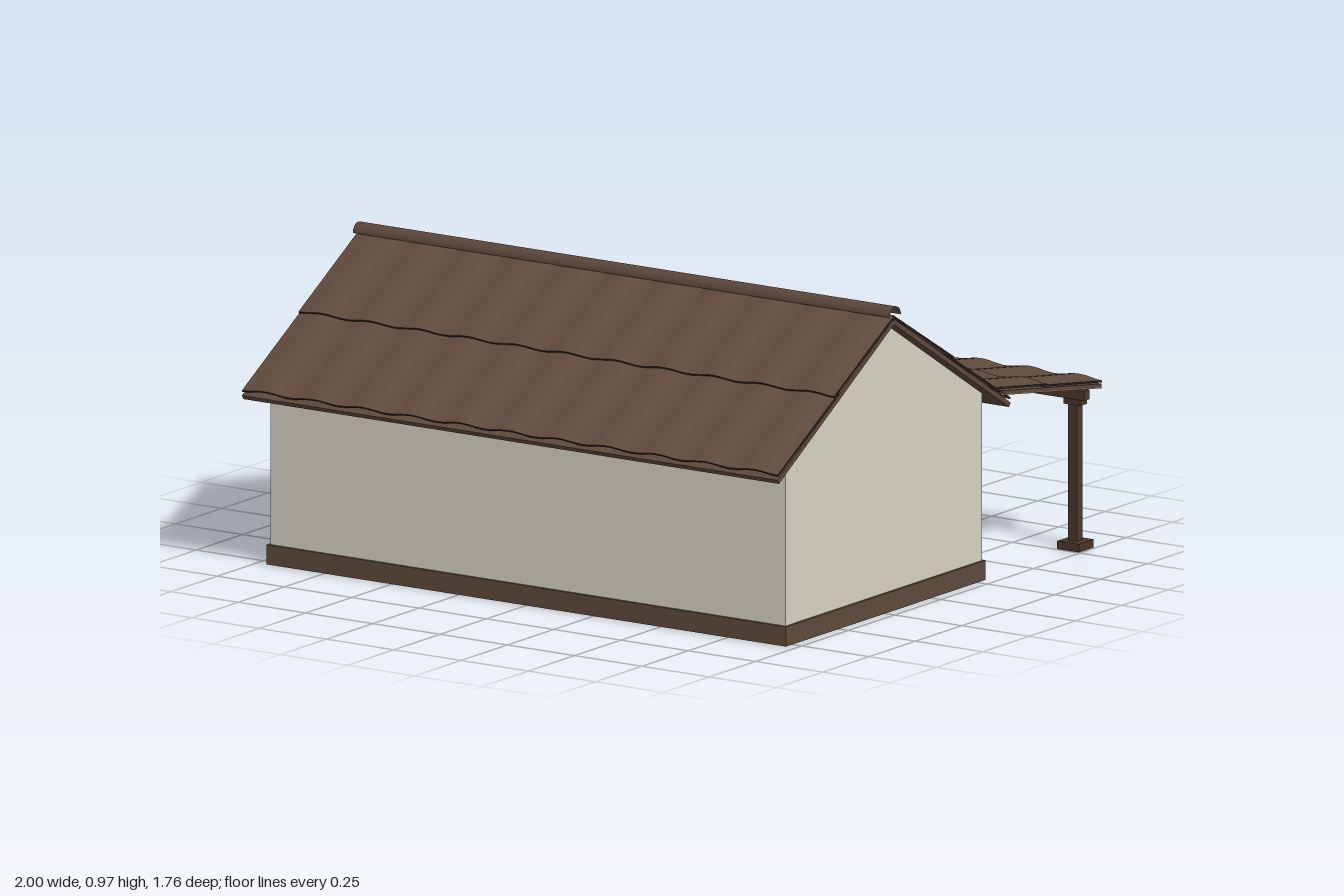
import * as THREE from 'three';

const mat = (name, color) => Object.assign(new THREE.MeshStandardMaterial({ color }), { name });

export function createModel() {
  const model = new THREE.Group();
  model.name = 'house';
  const tile = mat('roof tile brown', 0x604a3d);
  const tileEdge = mat('tile edge dark', 0x2c211c);
  const wood = mat('dark wood', 0x4b372d);
  const board = mat('roof board brown', 0x5e483c);
  const ceiling = mat('porch ceiling tan', 0x947a58);
  const plinthMat = mat('plinth brown', 0x5f4a3b);
  const plaster = mat('wall plaster', 0xd7d2c4);
  const iron = mat('window iron', 0x3a3632);
  const ochre = mat('threshold ochre', 0x8f7248);
  const capMat = mat('ridge cap brown', 0x5b463a);
  capMat.side = THREE.DoubleSide;

  const add = (name, geo, material, parent = model) => {
    const m = new THREE.Mesh(geo, material);
    m.name = name;
    parent.add(m);
    return m;
  };
  // Box given by its limits on each axis
  const box = (name, material, x0, x1, y0, y1, z0, z1, parent) => {
    const m = add(name, new THREE.BoxGeometry(x1 - x0, y1 - y0, z1 - z0), material, parent);
    m.position.set((x0 + x1) / 2, (y0 + y1) / 2, (z0 + z1) / 2);
    return m;
  };

  // Sloping slab whose mid-plane runs from (z0,y0) to (z1,y1), z0 < z1; wavy for tiles
  const slab = (name, material, z0, y0, z1, y1, thick, wave = 0) => {
    const len = Math.hypot(z1 - z0, y1 - y0);
    const geo = new THREE.BoxGeometry(1.99, thick, len, wave ? 132 : 1, 1, 1);
    if (wave) {
      const p = geo.attributes.position;
      for (let i = 0; i < p.count; i++) {
        p.setY(i, p.getY(i) + wave * Math.cos(p.getX(i) * Math.PI * 11));
      }
      geo.computeVertexNormals();
    }
    const m = add(name, geo, material);
    m.position.set(0, (y0 + y1) / 2, (z0 + z1) / 2);
    m.rotation.x = -Math.atan2(y1 - y0, z1 - z0);
    return m;
  };
  // Tile sheets have dark cut edges
  const tiles = [tileEdge, tileEdge, tile, tile, tileEdge, tileEdge];

  // Plinth: thin ring, open below
  box('plinthFront', plinthMat, -0.965, 0.965, 0, 0.062, 0.776, 0.785);
  box('plinthBack', plinthMat, -0.965, 0.965, 0, 0.062, -0.293, -0.286);
  for (const s of [-1, 1]) {
    const side = box('plinthSide', plinthMat, -0.004, 0.004, 0, 0.062, -0.286, 0.776);
    side.position.x = s * 0.961;
  }

  // Gable walls
  const gable = new THREE.Shape();
  [[-0.285, 0.06], [0.775, 0.06], [0.775, 0.59], [0.245, 0.912], [-0.285, 0.59]]
    .forEach(([z, y], i) => (i ? gable.lineTo(-z, y) : gable.moveTo(-z, y)));
  for (const x of [-0.957, 0.942]) {
    const g = add('gableWall', new THREE.ExtrudeGeometry(gable, { depth: 0.015, bevelEnabled: false }), plaster);
    g.rotation.y = Math.PI / 2;
    g.position.x = x;
  }
  box('frontWall', plaster, -0.942, 0.942, 0.06, 0.59, 0.76, 0.775);

  // Back wall with openings for two doors and two windows
  const doors = [0.38, -0.53];
  const windows = [0.74, -0.09];
  const rectPath = (x0, x1, y0, y1, P) => {
    const s = new P();
    s.moveTo(x0, y0);
    s.lineTo(x1, y0);
    s.lineTo(x1, y1);
    s.lineTo(x0, y1);
    s.closePath();
    return s;
  };
  const back = rectPath(-0.942, 0.942, 0.06, 0.59, THREE.Shape);
  doors.forEach(x => back.holes.push(rectPath(x - 0.1, x + 0.1, 0.065, 0.485, THREE.Path)));
  windows.forEach(x => back.holes.push(rectPath(x - 0.075, x + 0.075, 0.28, 0.43, THREE.Path)));
  add('backWall', new THREE.ExtrudeGeometry(back, { depth: 0.06, bevelEnabled: false }), plaster)
    .position.z = -0.285;

  // Recessed doors with lintel, threshold and step
  doors.forEach(x => {
    const g = new THREE.Group();
    g.name = 'door';
    g.position.x = x;
    model.add(g);
    box('doorLeaf', wood, -0.1, 0.1, 0.065, 0.485, -0.236, -0.226, g);
    for (const s of [-1, 1]) {
      box('doorPanel', tile, s * 0.049 - 0.046, s * 0.049 + 0.046, 0.07, 0.48, -0.24, -0.236, g);
    }
    box('doorLintel', wood, -0.15, 0.15, 0.49, 0.52, -0.294, -0.28, g);
    box('threshold', ochre, -0.1, 0.1, 0.062, 0.07, -0.285, -0.24, g);
    box('doorStep', wood, -0.12, 0.12, 0.035, 0.055, -0.295, -0.293, g);
  });

  // Windows with bars, sill, lintel and two shutters, one folded into the reveal
  windows.forEach(x => {
    const g = new THREE.Group();
    g.name = 'window';
    g.position.x = x;
    model.add(g);
    for (let i = -1; i <= 1; i++) {
      const bar = add('windowBar', new THREE.CylinderGeometry(0.005, 0.005, 0.15, 6), iron, g);
      bar.position.set(i * 0.038, 0.355, -0.268);
    }
    box('windowRail', iron, -0.075, 0.075, 0.351, 0.359, -0.272, -0.264, g);
    box('windowSill', wood, -0.085, 0.085, 0.268, 0.28, -0.294, -0.26, g);
    box('windowLintel', wood, -0.085, 0.085, 0.43, 0.442, -0.294, -0.26, g);
    box('openShutter', tile, 0.078, 0.155, 0.275, 0.44, -0.294, -0.286, g);
    box('foldedShutter', tile, -0.075, -0.067, 0.28, 0.43, -0.287, -0.215, g);
  });

  // Main roof: boards below and two overlapping tile rows on each slope
  const rz = 0.245;
  const slope = (name, material, d0, y0, d1, y1, thick, wave) => {
    slab(name + 'Front', material, rz + d0, y0, rz + d1, y1, thick, wave);
    slab(name + 'Back', material, rz - d1, y1, rz - d0, y0, thick, wave);
  };
  slope('roofBoard', board, 0, 0.921, 0.625, 0.538, 0.015);
  slope('upperTiles', tiles, 0, 0.942, 0.325, 0.75, 0.006, 0.005);
  slope('lowerTiles', tiles, 0.3, 0.757, 0.63, 0.562, 0.006, 0.005);

  // Ridge cap
  const cap = add('ridgeCap',
    new THREE.CylinderGeometry(0.03, 0.03, 1.995, 16, 1, true, 0, Math.PI), capMat);
  cap.rotation.z = Math.PI / 2;
  cap.position.set(0, 0.938, rz - 0.003);

  // Porch roof: brown boards lined below, under two tile rows
  slab('porchBoard', board, -0.875, 0.502, -0.33, 0.586, 0.011);
  slab('porchCeiling', ceiling, -0.874, 0.495, -0.33, 0.579, 0.003);
  slab('porchUpperTiles', tiles, -0.58, 0.567, -0.29, 0.611, 0.006, 0.005);
  slab('porchLowerTiles', tiles, -0.878, 0.519, -0.56, 0.567, 0.006, 0.005);

  // Porch beam and posts
  box('porchBeam', wood, -0.995, 0.995, 0.472, 0.502, -0.811, -0.779);
  for (let i = 0; i < 4; i++) {
    const g = new THREE.Group();
    g.name = 'porchPost';
    g.position.set(-0.953 + i * 0.6353, 0, -0.795);
    model.add(g);
    box('postFoot', wood, -0.04, 0.04, 0, 0.026, -0.04, 0.04, g);
    box('postShaft', wood, -0.016, 0.016, 0.026, 0.472, -0.016, 0.016, g);
    box('postCapital', wood, -0.03, 0.03, 0.455, 0.473, -0.02, 0.02, g);
  }
  return model;
}
